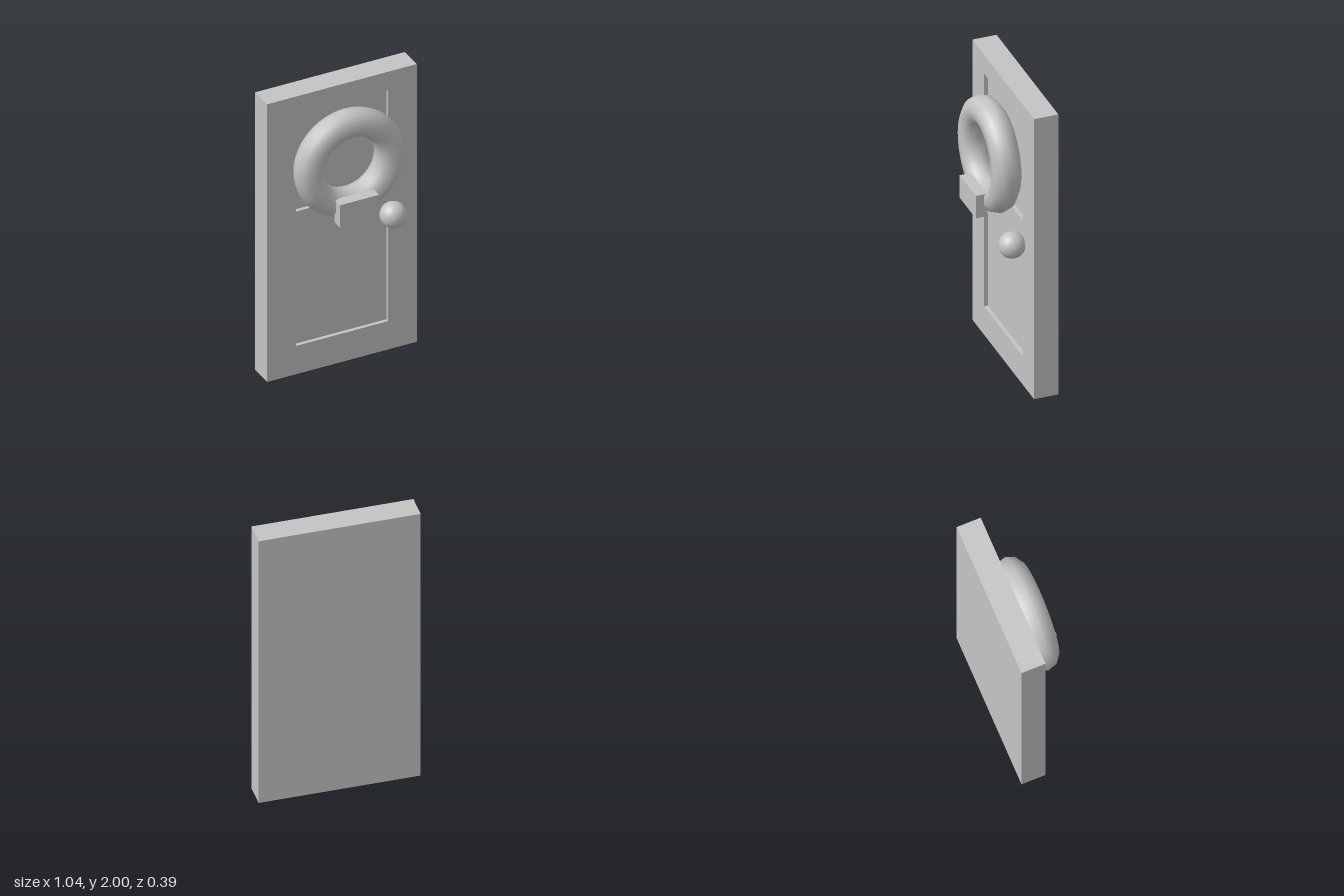
import * as THREE from 'three';

export function createModel() {
  const group = new THREE.Group();
  const grey = new THREE.MeshStandardMaterial({ color: 0xc4c4c4 });
  grey.name = 'plain grey';

  const add = (name, geometry, x, y, z) => {
    const mesh = new THREE.Mesh(geometry, grey);
    mesh.name = name;
    mesh.position.set(x, y, z);
    group.add(mesh);
  };
  // Trace a rectangle on a shape or path
  const rect = (path, x, y0, y1) =>
    path.moveTo(-x, y0).lineTo(x, y0).lineTo(x, y1).lineTo(-x, y1).closePath();

  const back = -0.2, front = -0.04, recess = 0.025;
  const width = 1.036, height = 2;

  // Door slab behind the recessed panels
  const slabDepth = front - back - recess;
  add('doorSlab', new THREE.BoxGeometry(width, height, slabDepth), 0, height / 2, back + slabDepth / 2);

  // Front frame with two panel openings
  const frame = rect(new THREE.Shape(), width / 2, 0, height);
  for (const [y0, y1] of [[0.204, 0.904], [1.172, 1.864]]) {
    frame.holes.push(rect(new THREE.Path(), 0.32, y0, y1));
  }
  add('doorFrame', new THREE.ExtrudeGeometry(frame, { depth: recess, bevelEnabled: false }), 0, 0, front - recess);

  // Wreath ring hung on the upper panel
  add('wreath', new THREE.TorusGeometry(0.279, 0.094, 10, 48), 0, 1.49, 0.05);

  // Block at the foot of the wreath
  add('wreathBow', new THREE.BoxGeometry(0.27, 0.16, 0.075), 0, 1.212, 0.157);

  // Round door knob
  add('doorKnob', new THREE.SphereGeometry(0.085, 32, 20), 0.32, 1.008, 0.028);

  return group;
}
